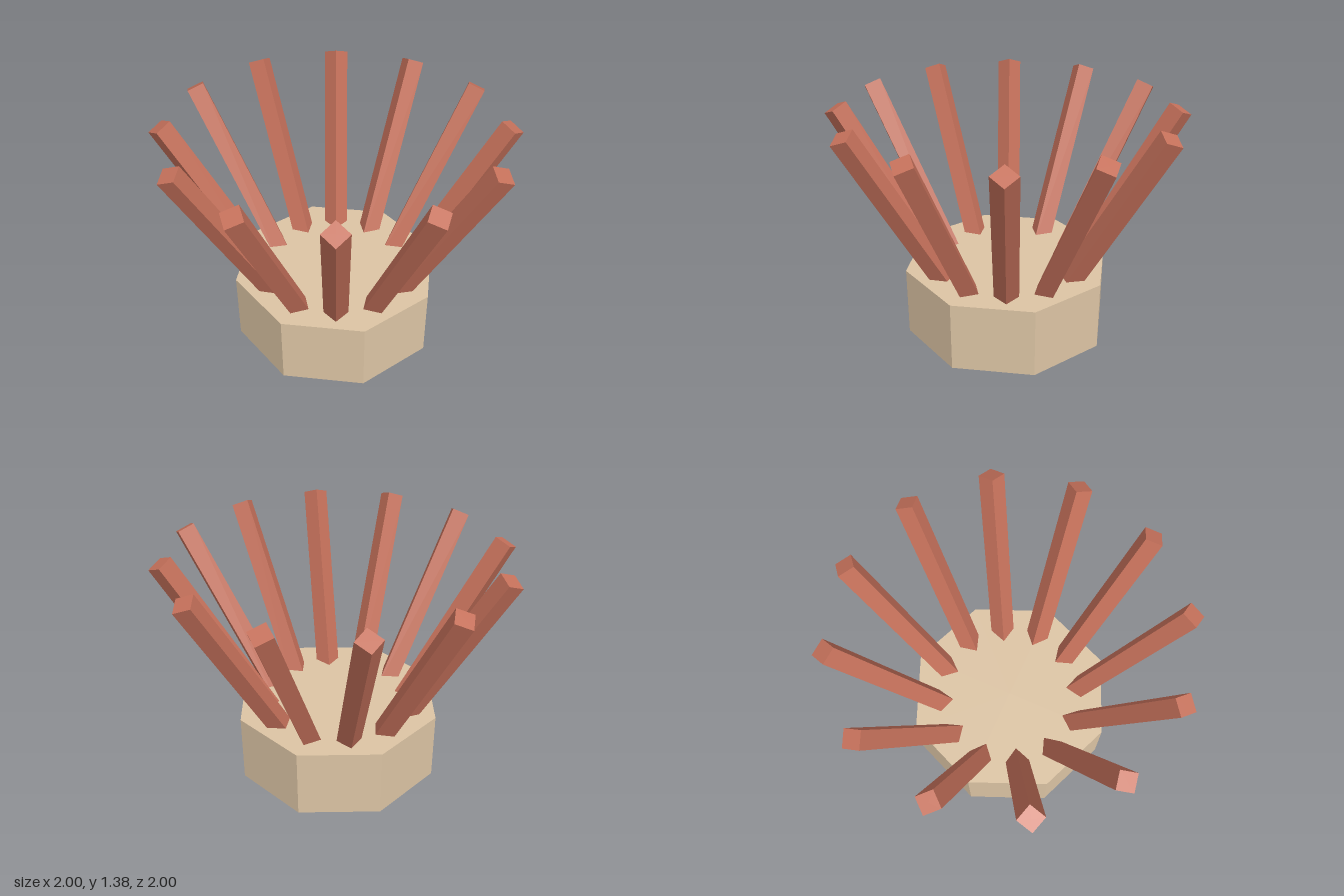
import * as THREE from 'three';

const TILT = 0.5;      // outward lean of each stick
const LENGTH = 1.2;
const TIP_RADIUS = 0.939, TIP_HEIGHT = 1.345; // centre of a stick's top end
const COUNT = 12;

export function createModel() {
  const model = new THREE.Group();
  model.name = 'stickHolder';

  const baseMaterial = new THREE.MeshStandardMaterial({ color: 0xdcc4a4, flatShading: true });
  const stickMaterial = new THREE.MeshStandardMaterial({ color: 0xc4705a, flatShading: true });

  // Eight-sided base with a corner towards the front
  const base = new THREE.Mesh(new THREE.CylinderGeometry(0.605, 0.605, 0.41, 8), baseMaterial);
  base.name = 'base';
  base.position.y = 0.205;
  model.add(base);

  // Ring of square sticks, one edge facing outward, sunk into the base
  const stickGeometry = new THREE.CylinderGeometry(0.07, 0.07, LENGTH, 4);
  stickGeometry.translate(0, -LENGTH / 2, 0);
  stickGeometry.rotateZ(-TILT);
  stickGeometry.translate(TIP_RADIUS, TIP_HEIGHT, 0);

  const sticks = new THREE.Group();
  sticks.name = 'sticks';
  for (let i = 0; i < COUNT; i++) {
    const stick = new THREE.Mesh(stickGeometry, stickMaterial);
    stick.name = `stick${i + 1}`;
    stick.rotation.y = (i / COUNT) * Math.PI * 2;
    sticks.add(stick);
  }
  model.add(sticks);

  return model;
}
